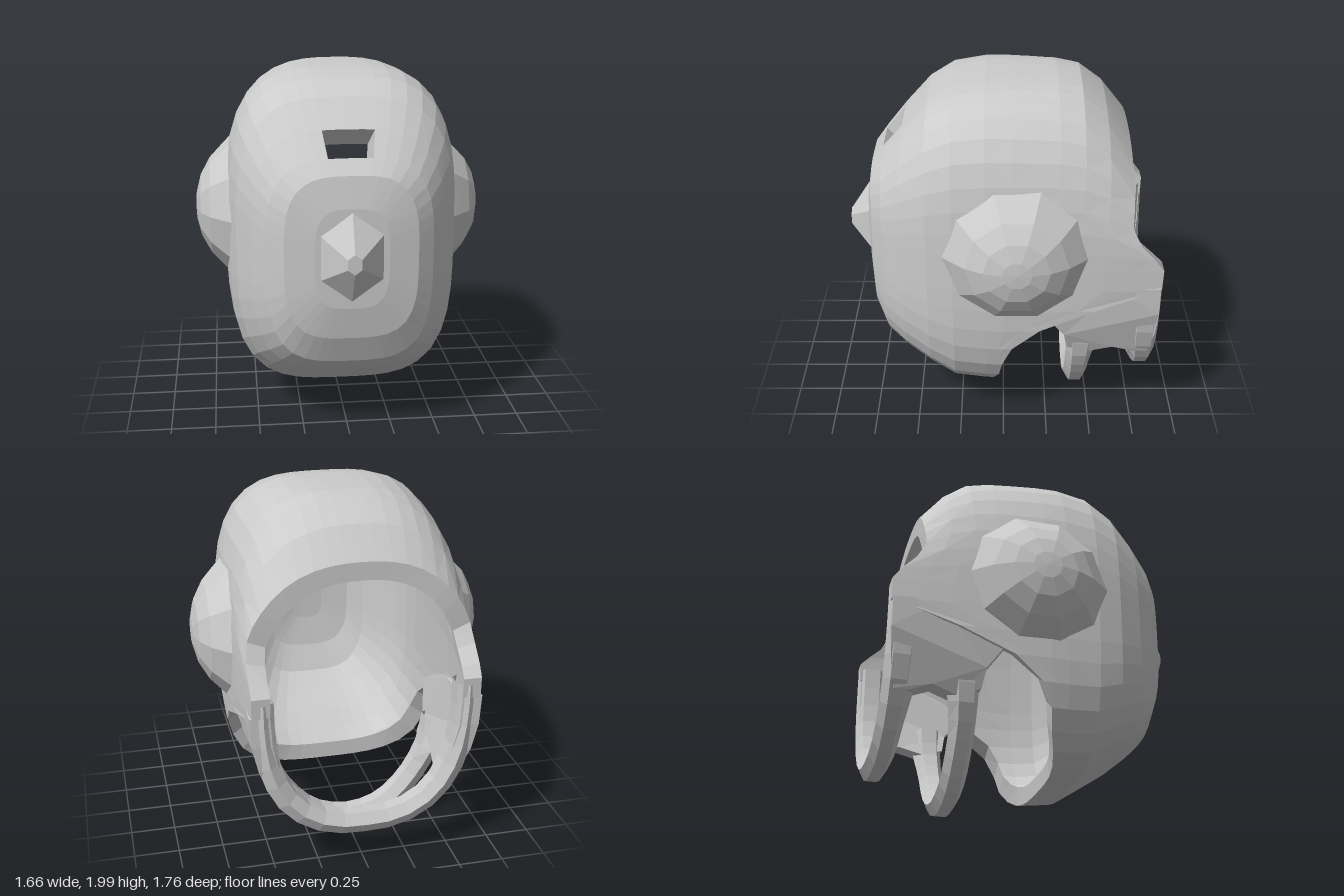
import * as THREE from 'three';

const material = new THREE.MeshStandardMaterial({ color: 0xcccccc, flatShading: true, side: THREE.DoubleSide });

// Linear lookup in rows [key, value...] sorted by rising key
function lookup(table, key) {
  const k = THREE.MathUtils.clamp(key, table[0][0], table[table.length - 1][0]);
  let n = 1;
  while (n < table.length - 1 && table[n][0] < k) n++;
  const a = table[n - 1], b = table[n];
  const t = (k - a[0]) / (b[0] - a[0]);
  return a.slice(1).map((v, m) => v + (b[m + 1] - v) * t);
}

// Move every vertex of a geometry by a rule
function reshape(geometry, rule) {
  const p = geometry.attributes.position;
  for (let n = 0; n < p.count; n++) p.setXYZ(n, ...rule(p.getX(n), p.getY(n), p.getZ(n)));
  geometry.computeVertexNormals();
  return geometry;
}

// Cross-sections: z, half width, top, bottom
const MID = 1.08;
const SECTIONS = [
  [-0.88, 0.62, 1.5, 0.17], [-0.7, 0.635, 1.7, 0.17], [-0.6, 0.645, 1.85, 0.17],
  [-0.42, 0.65, 1.98, 0.17], [-0.28, 0.655, 2, 0.17], [0, 0.66, 2, 0.17], [0.1, 0.655, 1.995, 0.17],
  [0.28, 0.64, 1.965, 0.19], [0.42, 0.605, 1.88, 0.28], [0.56, 0.53, 1.73, 0.37],
  [0.67, 0.45, 1.6, 0.46], [0.735, 0.36, 1.52, 0.62], [0.765, 0.2, 1.35, 0.8], [0.77, 0, MID, MID],
];
// Where the shell ends at the back, by relative height
const RIM = [[-1, 0.1], [-0.85, 0.03], [-0.64, 0], [-0.57, -0.03], [-0.41, -0.2], [-0.27, -0.5],
  [-0.13, -0.87], [0.05, -0.87], [0.35, -0.69], [0.7, -0.7], [1, -0.69]];
const FRONT_Z = [0.77, 0.765, 0.735, 0.67, 0.56, 0.42, 0.28, 0.1];
const COLS = 48, BACK_ROWS = 6, WALL = 0.1;
const ROWS = FRONT_Z.length + BACK_ROWS;

function shellPoint(i, j, inner) {
  const a = (i / COLS) * Math.PI * 2, c = Math.cos(a), s = Math.sin(a);
  const back = Math.max(0, (j - FRONT_Z.length + 1) / BACK_ROWS);
  // Squarish outline, rounder on the crown towards the back opening
  const power = s > 0 ? 3.3 - 0.9 * back : 3.5;
  const r = (Math.abs(c) ** power + Math.abs(s) ** power) ** (-1 / power);
  const u = c * r, v = s * r;
  let z = back === 0 ? FRONT_Z[j] : THREE.MathUtils.lerp(0.1, lookup(RIM, v)[0], back);
  const [w, top, bottom] = lookup(SECTIONS, z);
  const inset = inner ? WALL : 0;
  const h = Math.max(0, (v > 0 ? top - MID : MID - bottom) - inset);
  if (inner) z -= WALL * THREE.MathUtils.clamp((z - 0.1) / 0.4, 0, 1);
  return [u * Math.max(0, w - inset), MID + v * h, z];
}

// Thick shell with a forehead slot and an open back
function shellGeometry() {
  const pos = [];
  const quad = (a, b, c, d, flip) => {
    const tris = flip ? [a, b, d, b, c, d] : [a, b, c, a, c, d];
    tris.forEach((p) => pos.push(...p));
  };
  const kept = (i, j) => j < ROWS - 1 && !(j === 3 && i >= 10 && i < 14);
  for (let j = 0; j < ROWS - 1; j++) {
    for (let i = 0; i < COLS; i++) {
      if (!kept(i, j)) continue;
      const corners = [[i, j], [i, j + 1], [i + 1, j + 1], [i + 1, j]];
      const out = corners.map(([m, n]) => shellPoint(m, n, false));
      const inn = corners.map(([m, n]) => shellPoint(m, n, true));
      const flip = (i + j) % 2 === 1;
      quad(...out, flip);
      quad(inn[3], inn[2], inn[1], inn[0], flip);
      // Close the wall thickness along every open edge
      const next = [[i - 1, j], [i, j + 1], [i + 1, j], [i, j - 1]];
      next.forEach(([m, n], e) => {
        if (n < 0 || kept((m + COLS) % COLS, n)) return;
        const f = (e + 1) % 4;
        quad(out[f], out[e], inn[e], inn[f], false);
      });
    }
  }
  const g = new THREE.BufferGeometry();
  g.setAttribute('position', new THREE.Float32BufferAttribute(pos, 3));
  g.computeVertexNormals();
  return g;
}

// U-shaped strap from half a path of [x, y]; it widens upwards, towards the other strap
function strapGeometry(half, z0, towards) {
  const right = half.map(([x, y]) => new THREE.Vector3(x, y, z0));
  const left = half.slice(0, -1).reverse().map(([x, y]) => new THREE.Vector3(-x, y, z0));
  const tube = new THREE.TubeGeometry(new THREE.CatmullRomCurve3([...right, ...left]), 18, 0.07, 6);
  return reshape(tube, (x, y, z) => {
    const widen = (z - z0) * towards > 0 ? 1 + 2.5 * THREE.MathUtils.clamp(y - 0.34, 0, 0.25) : 1;
    return [x, y, z0 + (z - z0) * widen];
  });
}

export function createModel() {
  const model = new THREE.Group();
  const add = (name, geometry) => {
    const mesh = new THREE.Mesh(geometry, material);
    mesh.name = name;
    model.add(mesh);
  };

  add('shell', shellGeometry());

  // Pointed six-sided nose boss
  const nose = new THREE.CylinderGeometry(0.045, 0.23, 0.15, 6, 1);
  nose.rotateX(Math.PI / 2).scale(0.97, 1.23, 1).translate(0, 1.085, 0.815);
  add('nose', nose);

  // Side pieces
  const domeProfile = [[0.42, -0.04], [0.37, 0.01], [0.28, 0.095], [0.18, 0.15], [0.08, 0.175], [0, 0.18]]
    .map(([r, y]) => new THREE.Vector2(r, y));
  const flap = new THREE.Shape([[-0.22, 0.8], [-0.28, 0.72], [-0.34, 0.64], [-0.36, 0.53], [-0.49, 0.49],
    [-0.62, 0.53], [-0.74, 0.49], [-0.82, 0.49], [-0.85, 0.65], [-0.86, 0.8], [-0.86, 0.97], [-0.6, 0.97], [-0.4, 0.9]]
    .map(([z, y]) => new THREE.Vector2(-z, y)));
  for (const side of [1, -1]) {
    const label = side > 0 ? 'left' : 'right';
    const dome = new THREE.LatheGeometry(domeProfile, 10);
    dome.rotateZ(-side * Math.PI / 2).translate(side * 0.65, 1.17, -0.07);
    add(label + 'EarDome', dome);

    // Panel curving inwards at the bottom
    const panel = new THREE.ExtrudeGeometry(flap, { depth: 0.11, bevelEnabled: false });
    panel.rotateY(Math.PI / 2).translate(side * 0.578 - 0.055, 0, 0);
    add(label + 'StrapPanel', reshape(panel, (x, y, z) => [x - side * 0.5 * Math.max(0, 0.95 - y) ** 2, y, z]));
  }

  // Neck straps; the back one also forms the sides of the rear rim
  add('frontStrap', strapGeometry([[0.51, 0.66], [0.475, 0.48], [0.355, 0.26], [0.2, 0.12], [0, 0.07]], -0.43, -1));
  add('backStrap', strapGeometry(
    [[0.56, 1.04], [0.553, 0.84], [0.52, 0.64], [0.44, 0.46], [0.32, 0.34], [0.17, 0.275], [0, 0.262]], -0.805, 1));

  return model;
}
